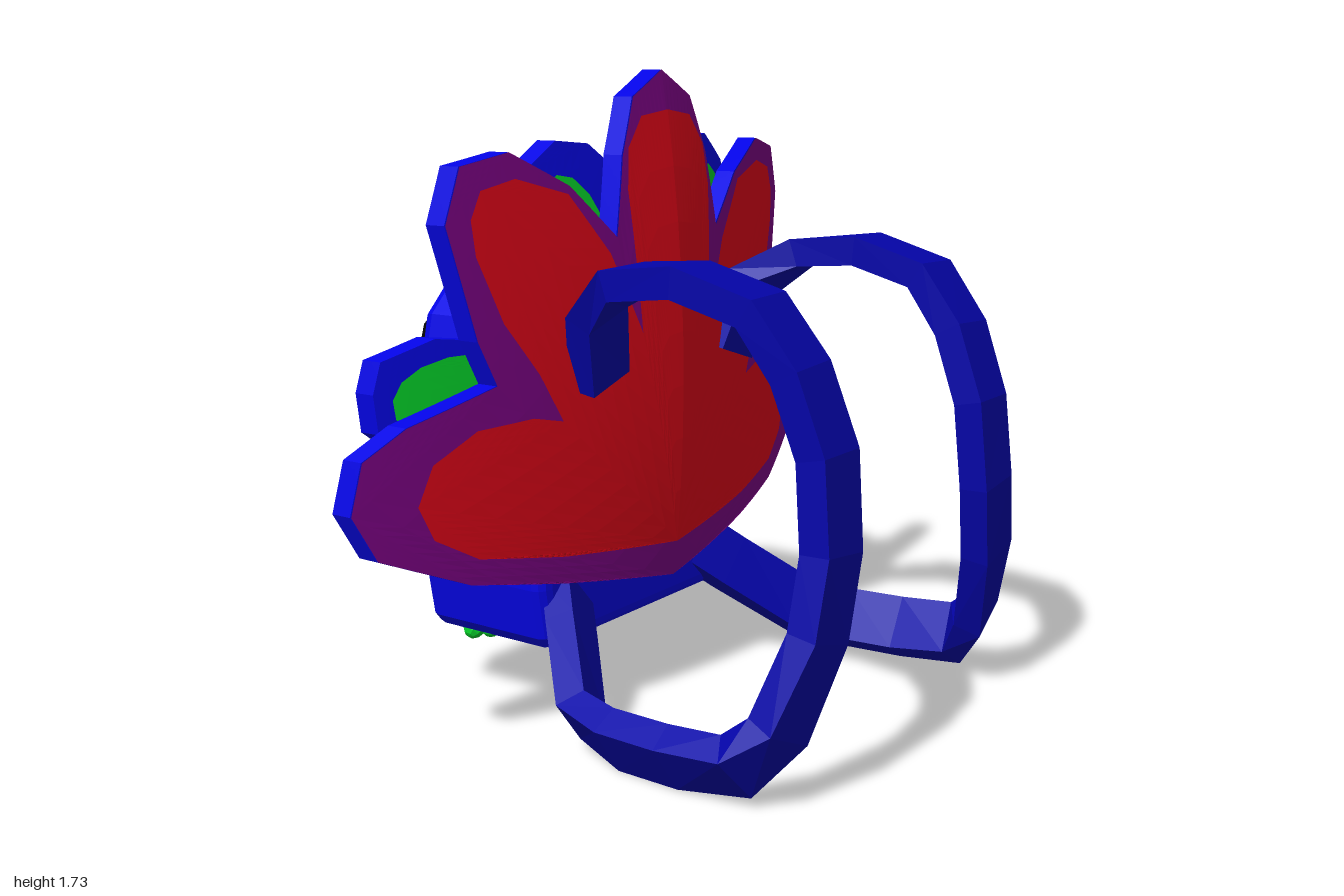
import * as THREE from 'three';
import { mergeGeometries } from 'three/addons/utils/BufferGeometryUtils.js';

const mat = (name, color) => {
  const m = new THREE.MeshStandardMaterial({ color });
  m.name = name;
  return m;
};
const V = (x, y, z) => new THREE.Vector3(x, y, z);
const shapeOf = (pts) => new THREE.Shape(pts.map(([x, y]) => new THREE.Vector2(x, y)));

// Faceted, position-only copy of a geometry
function faceted(geo) {
  const g = geo.index ? geo.toNonIndexed() : geo;
  const out = new THREE.BufferGeometry();
  out.setAttribute('position', g.getAttribute('position').clone());
  out.computeVertexNormals();
  return out;
}

// Mirror across x = 0 with the corner order restored
function mirrored(geo) {
  const g = faceted(geo), p = g.getAttribute('position');
  for (let i = 0; i < p.count; i += 3) {
    const t = [0, 2, 1].map((k) => V(-p.getX(i + k), p.getY(i + k), p.getZ(i + k)));
    t.forEach((v, k) => p.setXYZ(i + k, v.x, v.y, v.z));
  }
  g.computeVertexNormals();
  return g;
}
const both = (geo) => mergeGeometries([faceted(geo), mirrored(geo)]);

// Split every triangle in four, then bow the sheet backwards like a spread tail
function bowed(geo, bend, levels = 3) {
  let tris = [];
  const p = faceted(geo).getAttribute('position');
  for (let i = 0; i < p.count; i++) tris.push(V().fromBufferAttribute(p, i));
  for (let l = 0; l < levels; l++) {
    const next = [];
    for (let i = 0; i < tris.length; i += 3) {
      const [a, b, c] = tris.slice(i, i + 3);
      const ab = a.clone().lerp(b, 0.5), bc = b.clone().lerp(c, 0.5), ca = c.clone().lerp(a, 0.5);
      next.push(a, ab, ca, ab, b, bc, ca, bc, c, ab, bc, ca);
    }
    tris = next;
  }
  const g = new THREE.BufferGeometry().setFromPoints(tris.map(({ x, y, z }) => {
    const ax = Math.abs(x);
    return V(x, y, z - 0.01 - 0.11 * ax - bend * x * x - 0.1 * (1 - ax) * (y - 0.9) ** 2);
  }));
  g.computeVertexNormals();
  return g;
}

// Sweep an n-sided section along rows of [x, y, z, half width, half thickness, angle]
function sweep(rows, sides, lateral) {
  const rings = rows.map((r, i) => {
    const a = rows[Math.max(i - 1, 0)], b = rows[Math.min(i + 1, rows.length - 1)];
    const T = V(b[0] - a[0], b[1] - a[1], b[2] - a[2]).normalize();
    const L = lateral(r);
    L.addScaledVector(T, -L.dot(T)).normalize();
    const N = T.clone().cross(L);
    return Array.from({ length: sides }, (_, k) => {
      const th = (2 * k + 1) * Math.PI / sides, s = 1 / Math.cos(Math.PI / sides);
      return V(r[0], r[1], r[2]).addScaledVector(L, r[3] * s * Math.cos(th)).addScaledVector(N, r[4] * s * Math.sin(th));
    });
  });
  const out = [], last = rings[rings.length - 1];
  for (let i = 0; i < rings.length - 1; i++) {
    for (let k = 0; k < sides; k++) {
      const n = (k + 1) % sides, [p, q] = [rings[i], rings[i + 1]];
      out.push(p[k], p[n], q[n], p[k], q[n], q[k]);
    }
  }
  for (let k = 1; k < sides - 1; k++) out.push(rings[0][0], rings[0][k + 1], rings[0][k], last[0], last[k], last[k + 1]);
  const g = new THREE.BufferGeometry().setFromPoints(out);
  g.computeVertexNormals();
  return g;
}

// Flat petal outline; cx = 0 gives a half petal for mirroring
function petal(cx, cy, halfLength, halfWidth, degrees) {
  const a = THREE.MathUtils.degToRad(degrees), n = cx === 0 ? 10 : 18;
  return Array.from({ length: cx === 0 ? n + 1 : n }, (_, i) => {
    const t = cx === 0 ? -Math.PI + Math.PI * i / n : 2 * Math.PI * i / n;
    const u = halfLength * Math.cos(t), v = halfWidth * Math.sin(t);
    return [Math.max(0, cx + u * Math.cos(a) - v * Math.sin(a)), cy + u * Math.sin(a) + v * Math.cos(a)];
  });
}

export function createModel() {
  const root = new THREE.Group();
  root.name = 'turkeyBackpack';
  const blue = mat('blue fabric', 0x0404e4), navy = mat('dark blue webbing', 0x0404a8);
  const purple = mat('purple fabric', 0x7c0084), red = mat('red', 0xe00418);
  const crimson = mat('crimson', 0xb80430), green = mat('green', 0x04d42a), black = mat('black', 0x040404);
  const add = (name, geo, material) => {
    const m = new THREE.Mesh(geo, material);
    m.name = name;
    root.add(m);
    return m;
  };
  const slab = (pts, depth, z) => new THREE.ExtrudeGeometry(shapeOf(pts), { depth, bevelEnabled: false }).translate(0, 0, z);
  const sheet = (pts, z, bend) => both(bowed(new THREE.ShapeGeometry(shapeOf(pts)).translate(0, 0, z), bend));
  const backSheet = (pts, z, bend) => both(bowed(new THREE.ShapeGeometry(
    shapeOf(pts.map(([x, y]) => [-x, y]))).rotateY(Math.PI).translate(0, 0, z), bend));

  // Bag body: arched outline with rounded rims
  const arch = [[0.45, 0.95], [0.42, 1.08], [0.33, 1.17], [0.18, 1.215]];
  const half = [[0.4, 0.2], [0.425, 0.23], [0.45, 0.37], ...arch];
  const outline = [...half, ...half.map(([x, y]) => [-x, y]).reverse()];
  add('bagBody', new THREE.ExtrudeGeometry(shapeOf(outline), {
    depth: 0.36, bevelThickness: 0.04, bevelSize: 0.04, bevelOffset: -0.04, bevelSegments: 3,
  }).translate(0, 0, -0.54), blue);

  // Zip band over the top and down the sides
  const side = [[0.45, 0.66, -0.385], [0.45, 0.8, -0.38], ...arch.map(([x, y]) => [x, y, -0.362])];
  const band = [...side, ...side.map(([x, y, z]) => [-x, y, z]).reverse()].map((p) => [...p, 0.034, 0.006]);
  add('zipBand', sweep(band, 4, () => V(0, 0, 1)), green);
  add('zipPull', new THREE.BoxGeometry(0.02, 0.06, 0.035).translate(-0.455, 0.635, -0.39), crimson);
  const grip = [[-0.1, 1.19], [-0.088, 1.26], [-0.05, 1.283], [0.05, 1.283], [0.088, 1.26], [0.1, 1.19]];
  add('topHandle', sweep(grip.map(([x, y]) => [x, y, -0.252, 0.02, 0.026]), 4, () => V(0, 0, 1)), crimson);

  // Large tail fan: five feathers
  const bigBend = 0.15, smallBend = 0.19;
  const bigFan = [[0, 0.33], [0.42, 0.4], [0.7, 0.455], [0.94, 0.56], [1, 0.68], [0.97, 0.81], [0.86, 0.88],
    [0.62, 0.955], [0.67, 1.07], [0.745, 1.36], [0.7, 1.5], [0.56, 1.53], [0.38, 1.44], [0.23, 1.3],
    [0.19, 1.51], [0.13, 1.66], [0, 1.73]];
  const bigInner = [[0, 0.43], [0.42, 0.475], [0.68, 0.52], [0.8, 0.59], [0.84, 0.68], [0.8, 0.78], [0.68, 0.85],
    [0.52, 0.86], [0.43, 0.84], [0.5, 0.97], [0.6, 1.11], [0.67, 1.28], [0.68, 1.37], [0.65, 1.44], [0.55, 1.465],
    [0.39, 1.42], [0.26, 1.26], [0.155, 1.04], [0.185, 1.42], [0.17, 1.53], [0.11, 1.61], [0, 1.625]];
  add('largeTailFan', both(bowed(slab(bigFan, 0.06, -0.06), bigBend)), blue);
  add('largeFanFront', sheet(bigFan, 0.004, bigBend), purple);
  add('largeFanInner', sheet(bigInner, 0.008, bigBend), red);
  [[0, 1.27, 0.33, 0.12, 90], [0.48, 1.17, 0.31, 0.125, 62], [0.63, 0.67, 0.25, 0.13, 2]]
    .forEach((p) => add('largeFanBackPetal', backSheet(petal(...p), -0.064, bigBend), crimson));

  // Small tail fan: four feathers between the large ones
  const smallFan = [[0, 0.6], [0.45, 0.64], [0.72, 0.73], [0.855, 0.85], [0.865, 0.95], [0.845, 1.03], [0.71, 1.075],
    [0.52, 1.05], [0.53, 1.28], [0.45, 1.47], [0.34, 1.55], [0.23, 1.54], [0.15, 1.48], [0.07, 1.33], [0, 1.2]];
  add('smallTailFan', both(bowed(slab(smallFan, 0.06, -0.13), smallBend)), blue);
  [[0.28, 1.15, 0.32, 0.142, 78], [0.58, 0.89, 0.245, 0.135, 10]].forEach((p) => {
    add('smallFanBackPetal', backSheet(petal(...p), -0.134, smallBend), green);
    add('smallFanFrontPetal', sheet(petal(...p), -0.066, smallBend), green);
  });

  // Shoulder straps, twisting outwards towards the bottom
  const strap = [[0.3, 0.93, -0.06, -18], [0.36, 1.12, -0.02, -14], [0.42, 1.215, 0.12, 0], [0.435, 1.235, 0.32, 0],
    [0.43, 1.18, 0.52, 0], [0.42, 1.04, 0.625, 0], [0.41, 0.85, 0.695, 0], [0.42, 0.62, 0.715, 5],
    [0.46, 0.42, 0.705, 15], [0.535, 0.2, 0.645, 35], [0.585, 0.11, 0.56, 52], [0.59, 0.092, 0.38, 55],
    [0.58, 0.09, 0.2, 55], [0.54, 0.11, 0.06, 52], [0.38, 0.26, -0.1, 48], [0.3, 0.34, -0.18, 48]]
    .map(([x, y, z, a]) => [x, y, z, 0.08, 0.04, THREE.MathUtils.degToRad(a)]);
  const strapGeo = sweep(strap, 4, (r) => V(Math.cos(r[5]), Math.sin(r[5]), 0));
  add('leftStrap', strapGeo, navy);
  add('rightStrap', mirrored(strapGeo), navy);

  // Face: eyes, beak and the drooping wattle
  const eye = faceted(new THREE.SphereGeometry(0.15, 10, 6).rotateX(Math.PI / 2).scale(1, 1, 0.87));
  for (const s of [1, -1]) add('eye', eye, black).position.set(0.248 * s, 0.96, -0.57);
  add('beak', faceted(new THREE.ConeGeometry(0.1, 0.13, 4).rotateX(-Math.PI / 2)), green).position.set(0, 0.765, -0.686);
  const wattle = [[0.19, 0.72, -0.6, 0.025, 0.03], [0.15, 0.775, -0.603, 0.034, 0.055], [0.08, 0.8, -0.603, 0.034, 0.07],
    [0, 0.8, -0.603, 0.034, 0.075], [-0.09, 0.79, -0.603, 0.036, 0.07], [-0.15, 0.72, -0.61, 0.04, 0.065],
    [-0.165, 0.63, -0.625, 0.05, 0.075], [-0.17, 0.55, -0.622, 0.048, 0.07], [-0.165, 0.495, -0.605, 0.022, 0.04]];
  add('wattle', sweep(wattle, 6, () => V(0, 0, 1)), red);

  // Mouth pocket with its slit
  const pill = (w, h, c) => [[w - c, -h], [w, c - h], [w, h - c], [w - c, h], [c - w, h], [-w, h - c], [-w, c - h], [c - w, -h]];
  add('mouthPocket', slab(pill(0.32, 0.11, 0.05), 0.016, -0.588), blue).position.y = 0.5;
  add('mouthSlit', slab(pill(0.24, 0.02, 0.01), 0.008, -0.594), green).position.y = 0.525;

  // Feet: a short leg and three spread toes each
  const limb = (name, a, b, r) => {
    const m = add(name, faceted(new THREE.CapsuleGeometry(r, a.distanceTo(b), 3, 8)), green);
    m.position.copy(a).lerp(b, 0.5);
    m.quaternion.setFromUnitVectors(V(0, 1, 0), b.clone().sub(a).normalize());
  };
  for (const s of [1, -1]) {
    const x = 0.162 * s;
    limb('leg', V(x, 0.26, -0.582), V(x, 0.18, -0.585), 0.034);
    for (const [dx, y] of [[-0.072, 0.128], [0, 0.112], [0.072, 0.128]]) {
      limb('toe', V(x, 0.19, -0.584), V(x + dx, y, -0.586), 0.031);
    }
  }
  return root;
}
